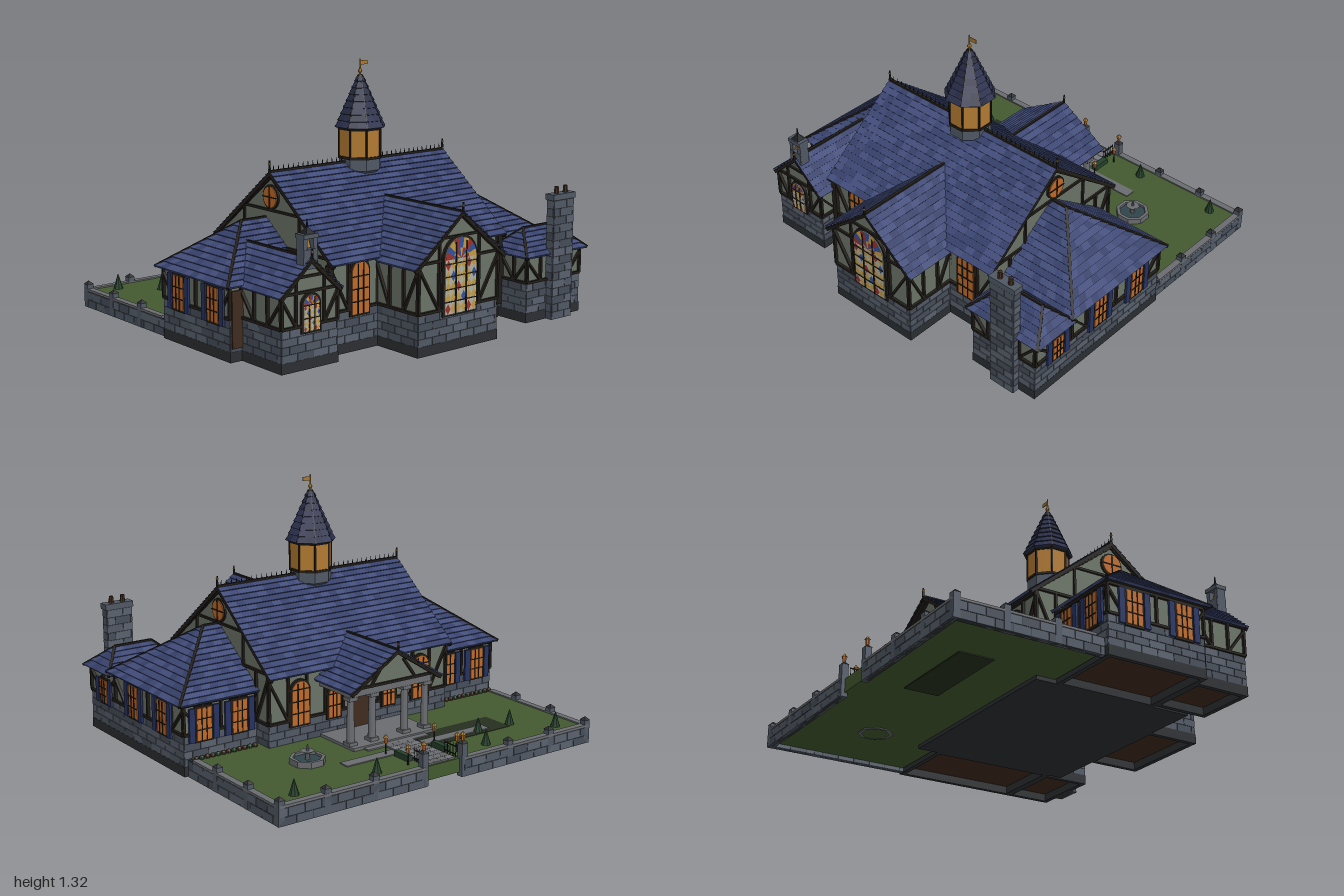
import * as THREE from 'three';
import { mergeGeometries } from 'three/addons/utils/BufferGeometryUtils.js';
const V = (x, y, z) => new THREE.Vector3(x, y, z), PI = Math.PI, SIDES = [-1, 1];
const C = { timber: 0x211d18, plaster: 0x6a7367, stone: 0x505864, base: 0x2b2e31, glow: 0xbd6a2a, amber: 0xb27a30, shutter: 0x263260,
  grass: 0x43592f, hedge: 0x24402a, iron: 0x1c1e22, gold: 0xa87a30, path: 0x6a6c70, soil: 0x26301f, wood: 0x3e2b1e, water: 0x30444a };
const ROOF = [0x3b4672, 0x424d7a, 0x353f68], SPIRE = [0x282d48, 0x2c314e, 0x242940], STONE = [0x505864, 0x59616d, 0x464d58];
const GLASS = [0xc09a45, 0xb0b0a0, 0x9c3028, 0x34509a];
let bins, frame, seed = 7;
const pick = (list) => list[(seed = (seed * 16807) % 2147483647) % list.length];
// Collect geometry by colour in the current frame
function add(color, geo) {
  const g = geo.index ? geo.toNonIndexed() : geo;
  g.deleteAttribute('uv');
  bins.set(color, [...(bins.get(color) ?? []), g.applyMatrix4(frame)]);
}
function at(x, z, ry, fn) {
  const old = frame;
  frame = old.clone().multiply(new THREE.Matrix4().makeRotationY(ry).setPosition(x, 0, z));
  fn();
  frame = old;
}
const box = (c, w, h, d, x, y, z, rz = 0) => add(c, new THREE.BoxGeometry(w, h, d).rotateZ(rz).translate(x, y, z));
const span = (c, x0, x1, y0, y1, z0, z1) => box(c, x1 - x0, y1 - y0, z1 - z0, (x0 + x1) / 2, (y0 + y1) / 2, (z0 + z1) / 2);
const cyl = (c, r1, r0, y0, y1, x, z, n = 8) =>
  add(c, new THREE.CylinderGeometry(r1, r0, y1 - y0, n).rotateY(PI / n).translate(x, (y0 + y1) / 2, z));
const ball = (c, r, x, y, z) => add(c, new THREE.SphereGeometry(r, 8, 6).translate(x, y, z));
const strut = (x0, y0, x1, y1, t = 0.013, z = 0.003) =>
  box(C.timber, Math.hypot(x1 - x0, y1 - y0), t, 0.014, (x0 + x1) / 2, (y0 + y1) / 2, z, Math.atan2(y1 - y0, x1 - x0));
const triangle = (c, h, y0, y1) => add(c, new THREE.ShapeGeometry(new THREE.Shape().moveTo(-h, y0).lineTo(h, y0).lineTo(0, y1)));
function beam(a, b, t, drop = 0) {
  const up = a.x === b.x && a.z === b.z ? V(1, 0, 0) : V(0, 1, 0);
  const m = new THREE.Matrix4().lookAt(a, b, up).setPosition(a.clone().lerp(b, 0.5).sub(V(0, drop, 0)));
  add(C.timber, new THREE.BoxGeometry(t, t, a.distanceTo(b)).applyMatrix4(m));
}
function quad(c, a, b, d, e) {
  const g = new THREE.BufferGeometry().setFromPoints([a, b, d, a, d, e]);
  g.computeVertexNormals();
  add(c, g);
}
// Shingled slope: eave a-b, ridge d-c
function slope(a, b, c, d, shades = ROOF) {
  const n = b.clone().sub(a).cross(d.clone().lerp(c, 0.5).sub(a)).normalize();
  if (n.y < 0) { [a, b, c, d] = [b, a, d, c]; n.negate(); }
  const P = (u, t, h) => a.clone().lerp(b, u).lerp(d.clone().lerp(c, u), t).addScaledVector(n, h);
  const rows = Math.max(2, Math.round(P(0.5, 0, 0).distanceTo(P(0.5, 1, 0)) / 0.036));
  for (let i = 0; i < rows; i++) {
    const t0 = i / rows, t1 = (i + 1) / rows, cols = Math.max(1, Math.round(P(0, t0, 0).distanceTo(P(1, t0, 0)) / 0.05));
    for (let j = 0; j < cols; j++) {
      const u0 = j / cols, u1 = (j + 1) / cols, color = pick(shades);
      quad(color, P(u0, t0, 0.008), P(u1, t0, 0.008), P(u1, t1, 0.002), P(u0, t1, 0.002));
      quad(color, P(u0, t0, -0.006), P(u1, t0, -0.006), P(u1, t0, 0.008), P(u0, t0, 0.008));
    }
  }
  quad(C.timber, P(0, 0, -0.006), P(0, 1, -0.006), P(1, 1, -0.006), P(1, 0, -0.006));
}
function finial(x, y, z) {
  cyl(C.iron, 0.004, 0.007, y, y + 0.045, x, z, 6);
  ball(C.gold, 0.007, x, y + 0.03, z);
}
// Gable roof with its ridge along z and bargeboards at the outer end
function gableRoof(cx, hw, eave, ridge, zEave, zRidge, zEnd) {
  const r0 = V(cx, ridge, zRidge), r1 = V(cx, ridge, zEnd), zBoard = zEnd - Math.sign(zEnd) * 0.01;
  for (const s of SIDES) {
    slope(V(cx + s * hw, eave, zEave), V(cx + s * hw, eave, zEnd), r1, r0);
    beam(V(cx + s * (hw - 0.006), eave, zBoard), V(cx, ridge, zBoard), 0.018, 0.009);
  }
  beam(r0, r1, 0.014);
  finial(cx, ridge, zEnd);
}
// Hip end: two slopes along x, closed by a triangle at the outer end
function hipRoof(xIn, xTip, xOut, z0, z1, zr, eave, ridge) {
  const tip = V(xTip, ridge, zr), inner = V(xIn, ridge, zr);
  for (const z of [z0, z1]) {
    slope(V(xIn, eave, z), V(xOut, eave, z), tip, inner);
    beam(V(xOut, eave, z), tip, 0.014);
  }
  slope(V(xOut, eave, z0), V(xOut, eave, z1), tip, tip);
  beam(inner, tip, 0.014);
}
// Coursed stone on all four sides of a block
function masonry(x0, x1, z0, z1, y0, y1) {
  span(C.base, x0, x1, y0, y1, z0, z1);
  const w = x1 - x0, d = z1 - z0, cx = (x0 + x1) / 2, cz = (z0 + z1) / 2, rows = Math.round((y1 - y0) / 0.04), h = (y1 - y0) / rows;
  for (const [x, z, ry, len] of [[cx, z1, 0, w], [x1, cz, PI / 2, d], [cx, z0, PI, w], [x0, cz, -PI / 2, d]]) at(x, z, ry, () => {
    for (let i = 0; i < rows; i++) for (let p = -len / 2 - (i % 2) * 0.045; p < len / 2 - 0.004; p += 0.09)
      span(pick(STONE), Math.max(p, -len / 2), Math.min(p + 0.087, len / 2), y0 + i * h, y0 + (i + 1) * h - 0.003, -0.01, 0.003);
  });
}
// Wing body: plinth ring with a raised floor, stone base and plaster above
function block(x0, x1, z0, z1, top) {
  for (const x of [x0 + 0.008, x1 - 0.008]) span(C.base, x - 0.012, x + 0.012, 0, 0.05, z0 - 0.004, z1 + 0.004);
  for (const z of [z0 + 0.008, z1 - 0.008]) span(C.base, x0 - 0.004, x1 + 0.004, 0, 0.05, z - 0.012, z + 0.012);
  span(C.wood, x0 + 0.01, x1 - 0.01, 0.04, 0.06, z0 + 0.01, z1 - 0.01);
  masonry(x0, x1, z0, z1, 0.05, 0.2);
  span(C.plaster, x0 + 0.004, x1 - 0.004, 0.2, top, z0 + 0.004, z1 - 0.004);
}
// Half-timber framing on a wall of width w, with an optional gable above it
function framing(w, top, bays, peak) {
  const h = w / 2, y0 = 0.205, mid = (top + peak) / 2;
  for (const y of [y0, top]) strut(-h, y, h, y);
  for (let i = 0; i <= bays; i++) strut(-h + (i * w) / bays, y0, -h + (i * w) / bays, top, 0.012);
  for (const s of SIDES) {
    strut(s * h, top - 0.02, s * (h - w / bays), y0, 0.011);
    if (peak) { strut(s * h, top, 0, peak, 0.018); strut(s * h / 2, top, s * h / 2, mid, 0.012); }
  }
  if (peak) { triangle(C.plaster, h, top, peak); strut(-h / 2, mid, h / 2, mid, 0.012); }
}
// Windows, drawn in the frame of their wall
function arch(c, x, w, y0, y1, z, depth) {
  const r = w / 2, s = new THREE.Shape().moveTo(-r, y0).lineTo(r, y0).lineTo(r, y1 - r).absarc(0, y1 - r, r, 0, PI).lineTo(-r, y0);
  add(c, new THREE.ExtrudeGeometry(s, { depth, bevelEnabled: false, curveSegments: 10 }).translate(x, 0, z));
}
function archWindow(x, w, y0, y1, stained) {
  const r = w / 2, spring = y1 - r, cell = w / 6, rows = Math.round((spring - y0) / cell / 1.5), ch = (spring - y0) / rows;
  arch(C.timber, x, w + 0.022, y0 - 0.01, y1 + 0.011, 0, 0.012);
  arch(stained ? GLASS[1] : C.glow, x, w, y0, y1, 0.006, 0.01);
  for (let i = 0; stained && i < 6; i++) for (let j = 0; j < rows; j++)
    add(GLASS[(i + j) % 4 ? 0 : 2 + (j % 2)], new THREE.CircleGeometry(1, 4).scale(cell / 2, ch / 2, 1).translate(x - r + (i + 0.5) * cell, y0 + (j + 0.5) * ch, 0.018));
  for (let k = 0; stained && k < 18; k++)
    add(GLASS[[2, 0, 3][(k + (k > 8)) % 3]], new THREE.RingGeometry(k > 8 ? r / 2 : 0, k > 8 ? r : r / 2, 2, 1, ((k % 9) * PI) / 9, PI / 9).translate(x, spring, 0.018));
  for (const s of SIDES) box(C.timber, w / 30, spring - y0 + r * 0.8, 0.012, x + s * w / 6, (y0 + spring + r * 0.8) / 2, 0.015);
  for (let y = y0 + 0.06; y <= spring + 0.01; y += 0.06) box(C.timber, w, 0.004, 0.012, x, y, 0.015);
}
function shutterWindow(x, w, y0, y1) {
  const h = y1 - y0, y = (y0 + y1) / 2;
  box(C.timber, w + 0.02, h + 0.02, 0.012, x, y, 0.006); box(C.glow, w, h, 0.01, x, y, 0.011);
  for (const s of SIDES) {
    box(C.timber, 0.004, h, 0.01, x + s * w / 6, y, 0.015); box(C.timber, w, 0.004, 0.01, x, y + s * h / 6, 0.015);
    box(C.shutter, 0.032, h + 0.01, 0.012, x + s * (w / 2 + 0.027), y, 0.012);
  }
}
function lantern(x, y, z) {
  cyl(C.glow, 0.011, 0.008, y, y + 0.028, x, z, 6);
  cyl(C.gold, 0.002, 0.015, y + 0.028, y + 0.044, x, z, 6);
}
// Side wing (s = -1 right-hand, mirrored) and front-facing gabled bay
function sideWing(s, z1, zr, tip, ridge, roofEnd) {
  block(s * 0.755 - 0.205, s * 0.755 + 0.205, -0.14, z1, 0.36);
  at(s * 0.96, zr, s * PI / 2, () => { framing(2 * (z1 - zr), 0.35, 6); for (const x of [-0.13, 0.15]) shutterWindow(x, 0.085, 0.17, 0.335); });
  at(s * 0.755, -0.14, PI, () => { framing(0.41, 0.35, 4); for (const x of [-0.1, 0.1]) shutterWindow(x, 0.08, 0.17, 0.33); });
  hipRoof(s * 0.55, s * tip, s * 0.995, -0.165, roofEnd, zr, 0.357, ridge);
}
function gabledBay(cx, hw, z0, z1, top, peak, w, y1) {
  block(cx - hw, cx + hw, z0, z1, top);
  at(cx, z1, 0, () => { framing(2 * hw, top, 4, peak); archWindow(0, w, 0.18, y1, true); });
  for (const s of SIDES) at(cx + s * hw, (z0 + z1) / 2, s * PI / 2, () => framing(z1 - z0, top - 0.01, 3));
}
const parts = {
  mainHall() {
    block(-0.55, 0.55, -0.25, 0.61, 0.46); span(C.base, -0.55, 0.55, 0, 0.05, -0.25, 0.61);
    for (const [z, ry, y] of [[0.61, 0, 0.43], [-0.25, PI, 0.4]]) at(0, z, ry, () => { framing(1.1, 0.44, 10); for (const s of SIDES) archWindow(s * 0.375, 0.1, 0.18, y); });
    for (const s of SIDES) at(s * 0.55, 0.18, s * PI / 2, () => {
      framing(0.86, 0.46, 8, 0.79); box(C.timber, 0.03, 0.36, 0.03, s * -0.43, 0.25, 0);
      for (const [c, r, d] of [[C.timber, 0.06, 0.02], [C.glow, 0.052, 0.03]]) add(c, new THREE.CylinderGeometry(r, r, d, 20).rotateX(PI / 2).translate(0, 0.69, 0));
      strut(-0.052, 0.69, 0.052, 0.69, 0.005, 0.012); strut(0, 0.638, 0, 0.742, 0.005, 0.012);
    });
  },
  mainRoof() {
    const L = V(-0.565, 0.81, 0.18), R = V(0.565, 0.81, 0.18);
    for (const [z, y] of [[-0.285, 0.44], [0.65, 0.435]]) {
      slope(V(-0.565, y, z), V(0.565, y, z), R, L);
      for (const s of SIDES) beam(V(s * 0.556, y, z), V(s * 0.556, 0.81, 0.18), 0.018, 0.009);
    }
    beam(L, R, 0.016);
    for (let x = -0.54; x < 0.55; x += 0.03) cyl(C.iron, 0.001, 0.004, 0.81, 0.84, x, 0.18, 4);
    for (const s of SIDES) finial(s * 0.563, 0.82, 0.18);
  },
  frontBay() { gabledBay(0, 0.255, 0.6, 0.89, 0.44, 0.65, 0.2, 0.54); gableRoof(0, 0.295, 0.42, 0.66, 0.64, 0.36, 0.915); },
  leftHandGable() { gabledBay(-0.735, 0.16, 0.4, 0.695, 0.36, 0.5, 0.09, 0.345); gableRoof(-0.735, 0.18, 0.35, 0.51, 0.4, 0.23, 0.715); },
  sideWings() { sideWing(1, 0.53, 0.195, 0.64, 0.62, 0.56); sideWing(-1, 0.4, 0.13, 0.695, 0.585, 0.43); box(C.wood, 0.06, 0.27, 0.01, -0.925, 0.2, 0.405); },
  pavilion() {
    block(0.575, 0.96, 0.53, 0.785, 0.35);
    at(0.768, 0.785, 0, () => framing(0.385, 0.335, 4)); at(0.575, 0.7, -PI / 2, () => framing(0.17, 0.335, 2));
    at(0.96, 0.655, PI / 2, () => { framing(0.26, 0.335, 2); shutterWindow(0.02, 0.07, 0.17, 0.29); });
    for (const [tip, end] of [[0.89, 0.995], [0.68, 0.55]]) hipRoof(0.75, tip, end, 0.535, 0.81, 0.655, 0.335, 0.45);
  },
  chimney() {
    masonry(0.72, 0.862, 0.78, 0.825, 0, 0.61); span(C.stone, 0.712, 0.872, 0.61, 0.64, 0.774, 0.83);
    for (const x of [0.76, 0.825]) cyl(C.wood, 0.011, 0.014, 0.64, 0.675, x, 0.802);
  },
  bellCote() {
    for (const s of SIDES) box(C.stone, 0.022, 0.15, 0.05, -0.735 + s * 0.029, 0.535, 0.678);
    box(C.stone, 0.078, 0.09, 0.056, -0.735, 0.505, 0.678); box(C.stone, 0.086, 0.02, 0.062, -0.735, 0.61, 0.678);
    for (const [c, r1, r0, y0, y1] of [[C.gold, 0.006, 0.017, 0.555, 0.6], [C.iron, 0.004, 0.035, 0.62, 0.65], [C.iron, 0.002, 0.005, 0.65, 0.685]]) cyl(c, r1, r0, y0, y1, -0.735, 0.678, 4);
  },
  tower() {
    for (const [c, r1, r0, y0, y1] of [[C.stone, 0.108, 0.05, 0.735, 0.77], [C.stone, 0.108, 0.108, 0.77, 0.83], [C.timber, 0.114, 0.114, 0.825, 0.838],
      [C.amber, 0.108, 0.108, 0.835, 0.975], [C.timber, 0.122, 0.112, 0.968, 0.983], [C.gold, 0.003, 0.006, 1.23, 1.315]]) cyl(c, r1, r0, y0, y1, 0, 0.18);
    const p = (i, r, y) => V(r * Math.sin((i + 0.5) * PI / 4), y, 0.18 + r * Math.cos((i + 0.5) * PI / 4));
    for (let i = 0; i < 8; i++) {
      slope(p(i, 0.125, 0.98), p(i + 1, 0.125, 0.98), p(i + 1, 0.01, 1.235), p(i, 0.01, 1.235), SPIRE);
      beam(p(i, 0.108, 0.835), p(i, 0.108, 0.975), 0.008); beam(p(i, 0.125, 0.98), p(i, 0.01, 1.235), 0.006);
    }
    ball(C.gold, 0.011, 0, 1.255, 0.18); span(C.gold, 0, 0.045, 1.285, 1.305, 0.178, 0.182);
  },
  porch() {
    span(C.path, -0.25, 0.25, 0.03, 0.105, -0.53, -0.25); span(C.path, -0.19, 0.19, 0.03, 0.097, -0.565, -0.53);
    for (const x of [-0.23, -0.1, 0.1, 0.23]) {
      cyl(C.path, 0.017, 0.02, 0.12, 0.335, x, -0.475, 12);
      for (const y of [0.113, 0.34]) box(C.path, 0.05, 0.018, 0.05, x, y, -0.475);
    }
    span(C.path, -0.25, 0.25, 0.35, 0.39, -0.5, -0.455);
    for (const s of SIDES) box(C.path, 0.04, 0.04, 0.25, s * 0.23, 0.37, -0.37);
    at(0, -0.51, PI, () => { triangle(C.plaster, 0.26, 0.39, 0.55); strut(-0.25, 0.395, 0.25, 0.395); for (const s of SIDES) strut(s * 0.14, 0.39, s * 0.06, 0.5); });
    gableRoof(0, 0.28, 0.385, 0.56, -0.25, -0.136, -0.55);
    at(0, -0.25, PI, () => { arch(C.timber, 0, 0.15, 0.1, 0.35, 0, 0.015); arch(C.wood, 0, 0.12, 0.1, 0.335, 0.01, 0.012); for (const s of SIDES) archWindow(s * 0.17, 0.07, 0.18, 0.33); });
    cyl(C.iron, 0.002, 0.002, 0.31, 0.42, 0, -0.335); lantern(0, 0.275, -0.335);
  },
  garden() {
    span(C.grass, -0.93, 0.93, 0.02, 0.09, -0.895, -0.15); span(C.soil, -0.61, -0.1, 0.015, 0.092, -0.69, -0.51);
    span(C.path, -0.5, -0.09, 0.08, 0.097, -0.66, -0.6); span(C.path, 0.09, 0.4, 0.08, 0.095, -0.68, -0.62);
    for (let k = 0; k < 32; k++) box(pick([C.path, 0x74767a, 0x64666a]), 0.041, 0.012, 0.039, -0.063 + (k % 4) * 0.042, 0.092, -0.865 + Math.floor(k / 4) * 0.041);
    for (let i = 0; i < 24; i++) ball(i % 3 ? C.wood : C.hedge, 0.014, (i % 2 ? 1 : -1) * (0.59 + Math.floor(i / 2) * 0.03), 0.095, -0.185);
    for (const s of SIDES) box(C.hedge, 0.03, 0.035, 0.1, s * 0.115, 0.1, -0.74);
    for (const [x, z] of [[-0.8, -0.82], [-0.335, -0.82], [0.335, -0.82], [0.8, -0.82], [-0.635, -0.66], [-0.425, -0.66]]) cyl(C.hedge, 0.002, 0.025, 0.09, 0.165, x, z);
  },
  gardenWall() {
    for (const s of SIDES) {
      masonry(s * 0.53 - 0.41, s * 0.53 + 0.41, -0.912, -0.885, 0, 0.085); masonry(s * 0.93 - 0.013, s * 0.93 + 0.013, -0.89, -0.15, 0, 0.085);
      box(C.path, 0.82, 0.012, 0.035, s * 0.53, 0.091, -0.898); box(C.path, 0.034, 0.012, 0.7, s * 0.93, 0.091, -0.54);
      for (const [x, z, h] of [[0.12, -0.897, 0.165], [0.41, -0.898, 0.12], [0.68, -0.898, 0.12], [0.93, -0.898, 0.12], [0.93, -0.65, 0.12], [0.93, -0.39, 0.12]]) {
        box(C.stone, 0.034, h, 0.034, s * x, h / 2, z); cyl(C.base, 0.002, 0.026, h, h + 0.016, s * x, z, 4);
      }
      for (let i = 0; i < 5; i++) cyl(C.iron, 0.001, 0.003, 0.09, 0.16, s * (0.1 - i * 0.002), -0.87 + i * 0.018, 4);
      for (const y of [0.105, 0.145]) box(C.iron, 0.005, 0.005, 0.08, s * 0.096, y, -0.835);
      for (const z of [-0.82, -0.65]) { cyl(C.iron, 0.003, 0.005, 0.085, 0.15, s * 0.15, z, 6); lantern(s * 0.15, 0.147, z); }
      lantern(s * 0.12, 0.178, -0.897);
    }
  },
  fountain() {
    const rim = [[0.07, 0.015], [0.088, 0.015], [0.088, 0.12], [0.07, 0.12], [0.07, 0.085]].map((p) => new THREE.Vector2(...p));
    add(C.path, new THREE.LatheGeometry(rim, 8, PI / 8).translate(0.515, 0, -0.52));
    for (const [c, r1, r0, y0, y1] of [[C.water, 0.072, 0.072, 0.088, 0.108], [C.path, 0.01, 0.014, 0.1, 0.14], [C.path, 0.036, 0.012, 0.138, 0.15], [C.path, 0.003, 0.008, 0.15, 0.18]]) cyl(c, r1, r0, y0, y1, 0.515, -0.52);
  },
};
export function createModel() {
  const model = new THREE.Group();
  for (const [name, build] of Object.entries(parts)) {
    const group = new THREE.Group();
    group.name = name; bins = new Map(); frame = new THREE.Matrix4();
    build();
    for (const [color, geos] of bins) group.add(new THREE.Mesh(mergeGeometries(geos), new THREE.MeshStandardMaterial({ color, flatShading: true, side: THREE.DoubleSide })));
    model.add(group);
  }
  return model;
}
